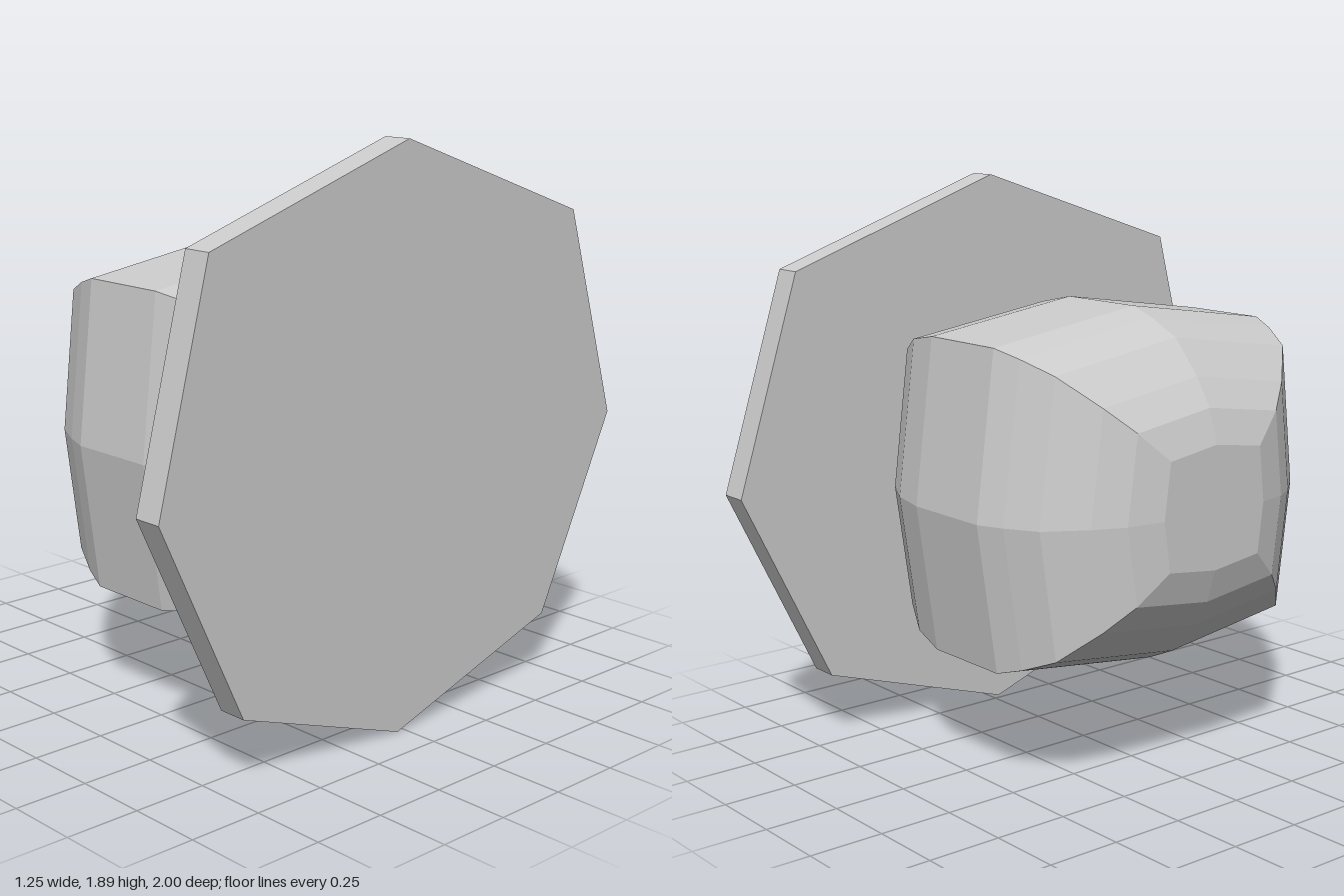
import * as THREE from 'three';

// Skins a stack of 8-point rings along x and closes both ends.
// outline: [z, y] points; stations: [x, scale]; cy, cz: axis position
function loft(outline, stations, cy, cz) {
  const n = outline.length, pos = [], index = [];
  for (const [x, s] of stations)
    for (const [z, y] of outline) pos.push(x, cy + y * s, cz + z * s);
  const last = stations.length - 1;
  for (let i = 0; i < last; i++) {
    for (let j = 0; j < n; j++) {
      const a = i * n + j, b = i * n + (j + 1) % n;
      index.push(a, b, b + n, a, b + n, a + n);
    }
  }
  for (let j = 1; j < n - 1; j++) {
    index.push(0, j + 1, j);
    index.push(last * n, last * n + j, last * n + j + 1);
  }
  const g = new THREE.BufferGeometry();
  g.setAttribute('position', new THREE.Float32BufferAttribute(pos, 3));
  g.setIndex(index);
  const flat = g.toNonIndexed();
  flat.computeVertexNormals();
  return flat;
}

export function createModel() {
  const group = new THREE.Group();
  const material = new THREE.MeshStandardMaterial({ color: 0xcccccc, flatShading: true });
  const add = (name, geometry) => {
    const mesh = new THREE.Mesh(geometry, material);
    mesh.name = name;
    group.add(mesh);
  };

  // Thin, slightly irregular eight-sided plate
  const plateOutline = [
    [0.02, 1.89], [0.81, 1.63], [1, 0.89], [0.69, 0.23],
    [0.03, 0], [-0.68, 0.23], [-1, 0.89], [-0.77, 1.61],
  ];
  add('plate', loft(plateOutline, [[0.52, 1], [0.62, 1]], 0, 0));

  // Barrel-shaped knob: puffed square section, rounded towards both ends
  const knobOutline = [
    [0.01, 1], [0.95, 0.86], [1.05, -0.05], [0.94, -0.88],
    [0.01, -1], [-0.94, -0.88], [-1.06, -0.05], [-0.94, 0.86],
  ];
  const knobStations = [
    [-0.625, 0.2], [-0.59, 0.31], [-0.53, 0.4], [-0.43, 0.51], [-0.32, 0.56], [-0.23, 0.59],
    [0.09, 0.59], [0.23, 0.56], [0.35, 0.5], [0.44, 0.425], [0.495, 0.31], [0.52, 0.15],
  ];
  add('knob', loft(knobOutline, knobStations, 0.92, 0.01));

  return group;
}
